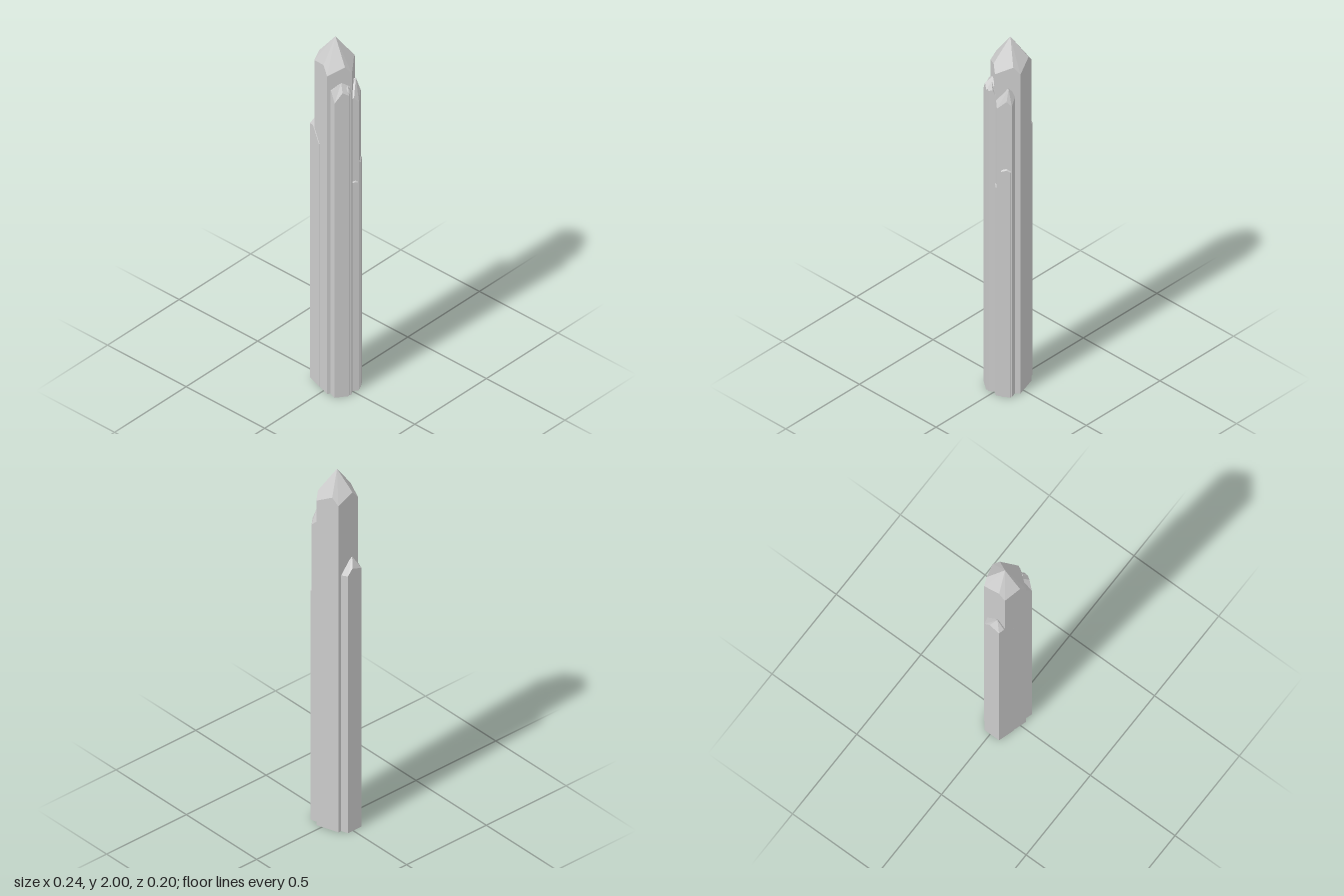
import * as THREE from 'three';

const material = new THREE.MeshStandardMaterial({ color: 0xcccccc, flatShading: true });

// A faceted crystal: a prism whose tip facets each take in one corner and meet
// part-way along the sides. corners: [x, z, shoulder height], apex: [x, y, z],
// split: where along each side neighbouring facets meet, rise: how far above the corners.
function crystal(name, corners, apex, split, rise) {
  const ring = [];
  corners.forEach((a, i) => {
    const b = corners[(i + 1) % corners.length];
    const mix = (k) => a[k] + (b[k] - a[k]) * split;
    ring.push([a[0], a[2], a[1]]);
    ring.push([mix(0), mix(2) + rise, mix(1)]);
  });
  const pos = [];
  const tri = (...pts) => pts.forEach((p) => pos.push(...p));
  const floor = (p) => [p[0], 0, p[2]];
  ring.forEach((a, i) => {
    const b = ring[(i + 1) % ring.length];
    tri(floor(a), a, floor(b));
    tri(floor(b), a, b);
    tri(apex, b, a);
    tri(floor(apex), floor(a), floor(b));
  });
  const geometry = new THREE.BufferGeometry();
  geometry.setAttribute('position', new THREE.Float32BufferAttribute(pos, 3));
  geometry.computeVertexNormals();
  const mesh = new THREE.Mesh(geometry, material);
  mesh.name = name;
  return mesh;
}

export function createModel() {
  const group = new THREE.Group();
  group.name = 'crystalCluster';

  // Tall central crystal
  group.add(crystal('mainCrystal', [
    [0.1, 0, 1.835], [0.03, 0.097, 1.835], [-0.085, 0.06, 1.855],
    [-0.085, -0.062, 1.855], [0.03, -0.099, 1.845],
  ], [-0.005, 2, 0], 0.28, 0.04));

  // Shorter crystal on the -x side
  group.add(crystal('sideCrystal', [
    [0.01, 0.008, 1.42], [-0.04, 0.077, 1.4], [-0.12, 0.052, 1.47],
    [-0.12, -0.033, 1.46], [-0.04, -0.059, 1.4],
  ], [-0.09, 1.535, 0.02], 0.66, 0.03));

  // Pair of crystals flanking the +x corner
  group.add(crystal('frontCrystal', [
    [0.118, 0.04, 1.735], [0.077, 0.096, 1.7], [0.01, 0.075, 1.74],
    [0.01, 0.005, 1.74], [0.077, -0.017, 1.72],
  ], [0.068, 1.79, 0.04], 0.45, 0.035));
  group.add(crystal('backCrystal', [
    [0.118, -0.03, 1.66], [0.077, 0.025, 1.66], [0.01, 0.005, 1.7],
    [0.01, -0.068, 1.7], [0.077, -0.088, 1.68],
  ], [0.07, 1.765, -0.06], 0.35, 0.03));

  // Thin slivers pressed against the pair
  group.add(crystal('frontSliver', [
    [0.119, 0.025, 1.735], [0.1, 0.05, 1.72], [0.07, 0.04, 1.72],
    [0.07, 0.005, 1.72], [0.101, -0.003, 1.715],
  ], [0.096, 1.775, 0.025], 0.4, 0.02));
  group.add(crystal('innerSliver', [
    [0.119, -0.024, 1.2], [0.1, 0.002, 1.2], [0.07, -0.01, 1.2],
    [0.07, -0.04, 1.2], [0.1, -0.05, 1.2],
  ], [0.096, 1.23, -0.024], 0.4, 0.005));
  group.add(crystal('backSliver', [
    [0.11, -0.05, 1.3], [0.085, -0.015, 1.3], [0.05, -0.03, 1.3],
    [0.05, -0.076, 1.3], [0.085, -0.087, 1.3],
  ], [0.085, 1.33, -0.055], 0.4, 0.01));

  return group;
}
